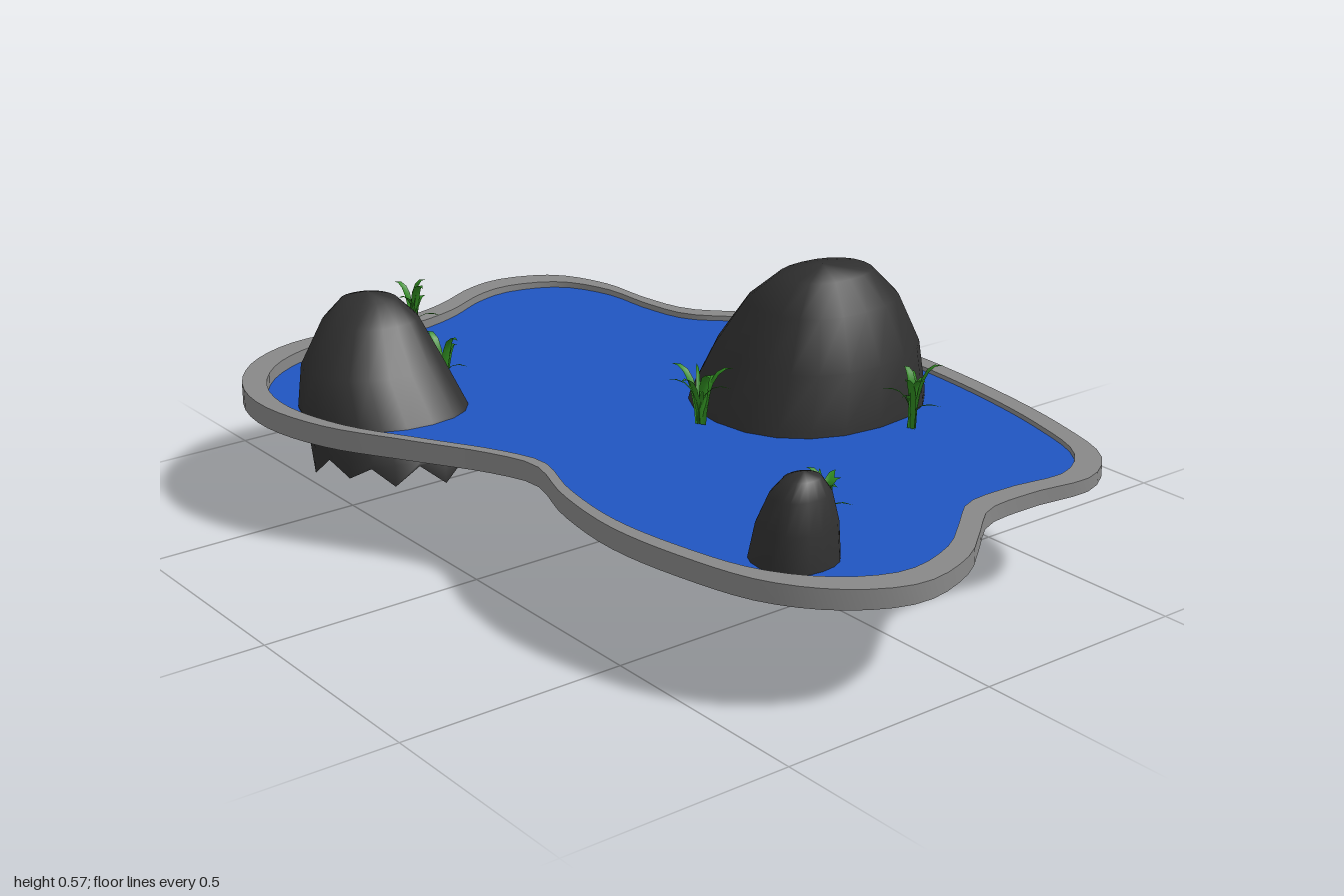
import * as THREE from 'three';
import { toCreasedNormals } from 'three/addons/utils/BufferGeometryUtils.js';

const paint = (color) => new THREE.MeshStandardMaterial({ color, side: THREE.DoubleSide });
const stoneMat = paint(0x303030);
const rimMat = paint(0x888888);
const waterMat = paint(0x2055c0);
const grassMat = paint(0x2f8a20);

// Small seeded generator
function seeded(seed) {
  let s = seed;
  return () => (s = (s * 16807) % 2147483647) / 2147483647;
}

function addMesh(parent, name, geometry, material) {
  const mesh = new THREE.Mesh(geometry, material);
  mesh.name = name;
  parent.add(mesh);
  return mesh;
}

// Pond shore as x, z pairs
const SHORE = [
  [0.24, -1], [0.375, -0.95], [0.44, -0.82], [0.45, -0.66], [0.48, -0.53], [0.6, -0.4],
  [0.67, -0.24], [0.692, -0.03], [0.677, 0.29], [0.625, 0.58], [0.56, 0.75], [0.455, 0.82],
  [0.3, 0.81], [0.165, 0.82], [0.075, 0.885], [-0.03, 0.96], [-0.18, 0.997], [-0.31, 0.94],
  [-0.41, 0.82], [-0.465, 0.635], [-0.487, 0.45], [-0.465, 0.265], [-0.42, 0.105], [-0.455, 0],
  [-0.55, -0.16], [-0.655, -0.345], [-0.695, -0.53], [-0.667, -0.67], [-0.577, -0.79],
  [-0.445, -0.86], [-0.285, -0.873], [-0.127, -0.873], [0.005, -0.91], [0.14, -0.98],
];

function shorePoints(scale) {
  const curve = new THREE.CatmullRomCurve3(
    SHORE.map(([x, z]) => new THREE.Vector3(x * scale, -z * scale, 0)), true, 'centripetal');
  return curve.getSpacedPoints(130).slice(0, -1).map((p) => new THREE.Vector2(p.x, p.y));
}

// Rim: a thin ring whose top slopes gently down towards +x
function rimGeometry() {
  const shape = new THREE.Shape(shorePoints(1));
  shape.holes.push(new THREE.Path(shorePoints(0.94)));
  const geo = new THREE.ExtrudeGeometry(shape, { depth: 0.04, bevelEnabled: false, steps: 1 });
  geo.rotateX(-Math.PI / 2);
  const pos = geo.attributes.position;
  for (let i = 0; i < pos.count; i++) {
    pos.setY(i, pos.getY(i) > 0.02 ? 0.265 - 0.016 * pos.getX(i) : 0.228);
  }
  return toCreasedNormals(geo, 0.7);
}

// Rock: open dome through rings [y, xMin, xMax, zMin, zMax], ending in a torn lower edge
function rockGeometry({ apex, rings, teeth, skew = 0, seed }) {
  const N = 20, random = seeded(seed);
  const verts = [...apex], index = [];
  const all = [...rings, rings[rings.length - 1]];
  all.forEach(([y, x0, x1, z0, z1], r) => {
    for (let j = 0; j < N; j++) {
      const a = (j / N) * Math.PI * 2;
      const round = (v) => Math.sign(v) * Math.abs(v) ** 0.88;
      const dz = round(Math.sin(a)) * (z1 - z0) / 2;
      const dx = round(Math.cos(a)) * (x1 - x0) / 2 + skew * dz;
      let drop = 0;
      if (r === all.length - 1) drop = teeth * (j % 2 ? 0.4 + 0.6 * random() : 0.12 + 0.2 * random());
      if (j === 5 && drop) drop = teeth;
      verts.push((x0 + x1) / 2 + dx * (1 + drop * 0.2), y - drop, (z0 + z1) / 2 + dz);
    }
  });
  for (let j = 0; j < N; j++) {
    const k = (j + 1) % N;
    index.push(0, 1 + k, 1 + j);
    for (let r = 0; r < all.length - 1; r++) {
      const up = 1 + r * N, low = up + N;
      index.push(low + j, up + j, low + k, up + j, up + k, low + k);
    }
  }
  const geo = new THREE.BufferGeometry();
  geo.setAttribute('position', new THREE.Float32BufferAttribute(verts, 3));
  geo.setIndex(index);
  geo.computeVertexNormals();
  return geo;
}

const ROCKS = {
  largeRock: {
    apex: [0.32, 0.567, 0.14], teeth: 0.14, seed: 77,
    rings: [[0.55, 0.22, 0.44, 0.06, 0.22], [0.485, 0.165, 0.51, -0.02, 0.265],
      [0.375, 0.115, 0.565, -0.1, 0.31], [0.26, 0.07, 0.587, -0.15, 0.33], [0.14, 0.045, 0.587, -0.165, 0.34]],
  },
  leaningRock: {
    apex: [-0.425, 0.485, -0.52], teeth: 0.06, seed: 1234, skew: 0.15,
    rings: [[0.47, -0.48, -0.37, -0.57, -0.46], [0.43, -0.53, -0.335, -0.59, -0.41],
      [0.34, -0.595, -0.305, -0.6, -0.34], [0.25, -0.615, -0.28, -0.6, -0.275], [0.18, -0.61, -0.275, -0.56, -0.235]],
  },
  backRock: {
    apex: [-0.335, 0.433, -0.64], teeth: 0.05, seed: 555,
    rings: [[0.42, -0.37, -0.295, -0.68, -0.605], [0.385, -0.415, -0.26, -0.7, -0.575],
      [0.32, -0.445, -0.235, -0.72, -0.55], [0.25, -0.46, -0.225, -0.74, -0.54], [0.22, -0.46, -0.225, -0.735, -0.535]],
  },
  frontRock: {
    apex: [-0.255, 0.425, 0.745], teeth: 0.05, seed: 901,
    rings: [[0.413, -0.295, -0.22, 0.715, 0.775], [0.38, -0.32, -0.195, 0.69, 0.79],
      [0.32, -0.34, -0.18, 0.665, 0.805], [0.25, -0.345, -0.175, 0.645, 0.812], [0.225, -0.345, -0.175, 0.64, 0.812]],
  },
};

// Grass blade: folded ribbon bending outwards along +x
function bladeGeometry(height, reach, width) {
  const rows = 6, verts = [], index = [];
  for (let i = 0; i <= rows; i++) {
    const t = i / rows;
    const w = width * (0.45 + 1.1 * t) * (1 - t ** 2.2) / 2;
    const x = reach * t * t, y = height * Math.sin(t * 1.75);
    verts.push(x, y, -w, x + w * 0.4, y, 0, x, y, w);
    if (i === rows) continue;
    for (let s = 0; s < 2; s++) {
      const a = i * 3 + s;
      index.push(a, a + 3, a + 1, a + 1, a + 3, a + 4);
    }
  }
  const geo = new THREE.BufferGeometry();
  geo.setAttribute('position', new THREE.Float32BufferAttribute(verts, 3));
  geo.setIndex(index);
  geo.computeVertexNormals();
  return geo;
}

// Clump: broad upright blades with thin arching ones between
function grassClump(seed, height) {
  const clump = new THREE.Group(), random = seeded(seed);
  for (let i = 0; i < 9; i++) {
    const broad = i % 2 === 0;
    const blade = addMesh(clump, 'grassBlade', broad
      ? bladeGeometry(height * (0.65 + 0.35 * random()), 0.03 + 0.04 * random(), 0.026)
      : bladeGeometry(height * (0.4 + 0.35 * random()), 0.06 + 0.03 * random(), 0.012), grassMat);
    blade.rotation.y = (i / 9) * Math.PI * 2 + random() * 0.6;
    blade.position.set(0.02 * (random() - 0.5), 0, 0.02 * (random() - 0.5));
  }
  return clump;
}

export function createModel() {
  const model = new THREE.Group();
  model.name = 'pond';

  addMesh(model, 'rim', rimGeometry(), rimMat);

  const water = new THREE.ShapeGeometry(new THREE.Shape(shorePoints(0.945)));
  water.rotateX(-Math.PI / 2);
  addMesh(model, 'water', water, waterMat).position.y = 0.245;

  for (const [name, spec] of Object.entries(ROCKS)) addMesh(model, name, rockGeometry(spec), stoneMat);

  // x, base y, z, height
  [[-0.14, 0.255, -0.8, 0.13], [-0.25, 0.19, -0.5, 0.18], [0.03, 0.25, 0.09, 0.145],
    [0.37, 0.25, 0.38, 0.15], [-0.14, 0.235, 0.67, 0.16]].forEach(([x, y, z, h], i) => {
    const clump = grassClump(101 + i * 7919, h);
    clump.name = 'grassClump';
    clump.position.set(x, y, z);
    model.add(clump);
  });

  return model;
}
